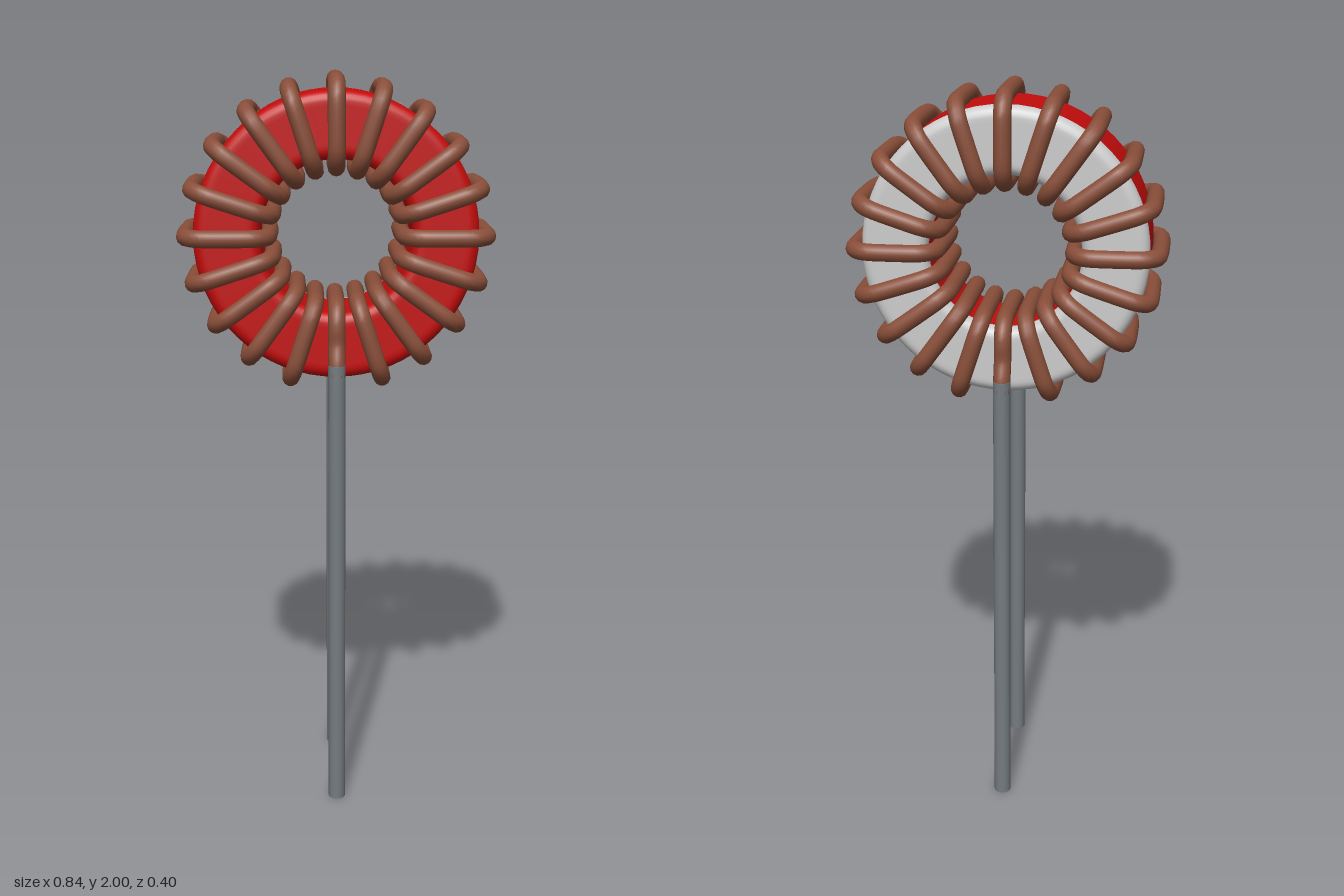
import * as THREE from 'three';

const CENTER_Y = 1.58, WIRE = 0.023, TURNS = 20;
const R_IN = 0.178, R_OUT = 0.397, Z_WIRE = 0.157, BEND = 0.058;

const red = new THREE.MeshStandardMaterial({ color: 0xc40c0c });
const grey = new THREE.MeshStandardMaterial({ color: 0xcccccc });
const copper = new THREE.MeshStandardMaterial({ color: 0x8a4f3a });
const steel = new THREE.MeshStandardMaterial({ color: 0x747b7f });

// Points of a quarter bend in the (radius, z) plane
function bend(r, z, size, startQuarter, steps = 5) {
  return Array.from({ length: steps + 1 }, (_, i) => {
    const a = (startQuarter + i / steps) * Math.PI / 2;
    return new THREE.Vector2(r + size * Math.cos(a), z + size * Math.sin(a));
  });
}

// Ring section turned about the z axis
function ring(name, profile, material) {
  const geometry = new THREE.LatheGeometry(profile, 64);
  geometry.rotateX(Math.PI / 2);
  const mesh = new THREE.Mesh(geometry, material);
  mesh.name = name;
  return mesh;
}

// Wire through (radius, z) points, radius measured along +y
function wire(name, points, closed, segments) {
  const curve = new THREE.CatmullRomCurve3(points.map(p => new THREE.Vector3(0, p.x, p.y)), closed);
  const mesh = new THREE.Mesh(new THREE.TubeGeometry(curve, segments, WIRE, 12, closed), copper);
  mesh.name = name;
  return mesh;
}

export function createModel() {
  const model = new THREE.Group();
  model.name = 'toroidInductor';

  const toroid = new THREE.Group();
  toroid.name = 'toroid';
  toroid.position.y = CENTER_Y;
  model.add(toroid);

  // Core: red body with a pale back face
  const ro = 0.375, ri = 0.2, zc = 0.135, split = -0.1, c = 0.028;
  const v = (x, y) => new THREE.Vector2(x, y);
  toroid.add(ring('coreBody', [
    v(ro, split), v(ro, zc - c - 0.01), ...bend(ro - c, zc - c, c, 0),
    v(ro - c - 0.01, zc), v(ri + c + 0.01, zc),
    ...bend(ri + c, zc - c, c, 1), v(ri, zc - c - 0.01), v(ri, split),
  ], red));
  toroid.add(ring('coreBack', [
    v(ri, split), ...bend(ri + c, c - zc, c, 2),
    v(ri + c + 0.01, -zc), v(ro - c - 0.01, -zc),
    ...bend(ro - c, c - zc, c, 3), v(ro, split),
  ], grey));

  // Closed turns, leaving the bottom place for the wire ends
  const loop = [
    ...bend(R_OUT - BEND, Z_WIRE - BEND, BEND, 0),
    ...bend(R_IN + BEND, Z_WIRE - BEND, BEND, 1),
    ...bend(R_IN + BEND, BEND - Z_WIRE, BEND, 2),
    ...bend(R_OUT - BEND, BEND - Z_WIRE, BEND, 3),
  ];
  const turn = wire('windingTurn', loop, true, 72);
  for (let i = 0; i < TURNS; i++) {
    if (i === TURNS / 2) continue;
    const copy = turn.clone();
    copy.rotation.z = i * Math.PI * 2 / TURNS;
    toroid.add(copy);
  }

  // Bottom turn: open, flaring out to the two leads
  const zLead = 0.175;
  const ends = wire('windingEnds', [
    v(0.36, zLead), v(0.33, zLead - 0.002), v(0.28, Z_WIRE),
    ...bend(R_IN + BEND, Z_WIRE - BEND, BEND, 1),
    ...bend(R_IN + BEND, BEND - Z_WIRE, BEND, 2),
    v(0.28, -Z_WIRE), v(0.33, 0.002 - zLead), v(0.36, -zLead),
  ], false, 60);
  ends.rotation.z = Math.PI;
  toroid.add(ends);

  // Straight leads
  const leadTop = 1.25;
  for (const [name, z] of [['frontLead', zLead], ['backLead', -zLead]]) {
    const lead = new THREE.Mesh(new THREE.CylinderGeometry(WIRE, WIRE, leadTop, 16), steel);
    lead.name = name;
    lead.position.set(0, leadTop / 2, z);
    model.add(lead);
  }
  return model;
}
